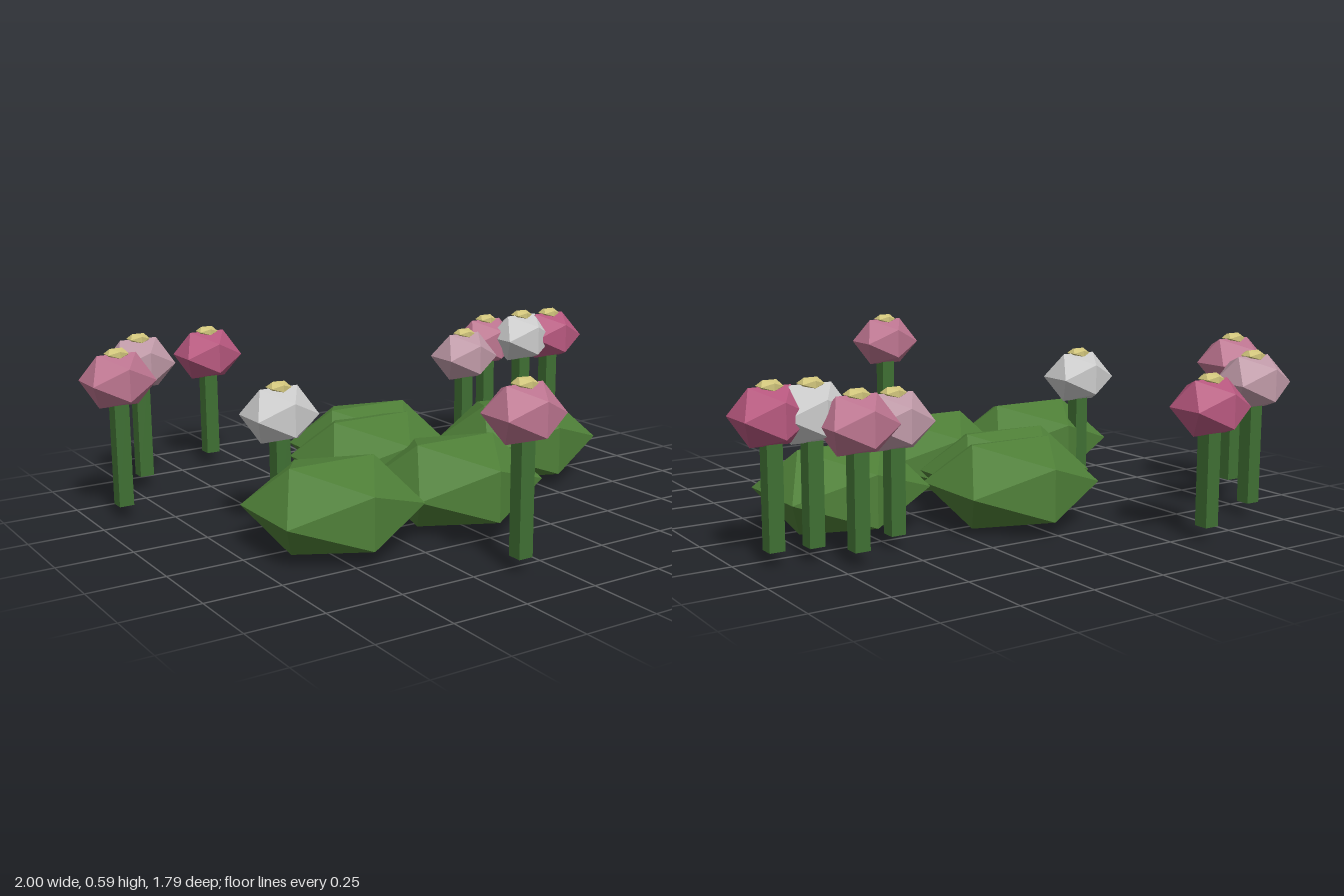
import * as THREE from 'three';

const mat = (color) => new THREE.MeshStandardMaterial({ color, flatShading: true });

export function createModel() {
  const root = new THREE.Group();
  root.name = 'flowerPatch';

  const leafGreen = mat(0x4f8038);
  const stemGreen = mat(0x3f6f33);
  const yellow = mat(0xd2c67c);
  const petals = {
    mid: mat(0xbd7590),
    light: mat(0xc09aa8),
    dark: mat(0xb8587f),
    white: mat(0xcccccc),
  };

  const add = (parent, name, geometry, material, x, y, z) => {
    const mesh = new THREE.Mesh(geometry, material);
    mesh.name = name;
    mesh.position.set(x, y, z);
    parent.add(mesh);
    return mesh;
  };

  // Squashed icosahedron given by its half width and half height
  const blob = (halfWidth, halfHeight) => {
    const k = 0.8507; // axis extent of a unit icosahedron
    return new THREE.IcosahedronGeometry(1, 0).scale(halfWidth / k, halfHeight / k, halfWidth / k);
  };

  // Low bushes: x, z
  const bushGeometry = blob(0.245, 0.1375);
  [
    [-0.455, 0.29], [0.02, 0.28], [-0.055, -0.12], [0.03, -0.28], [0.53, -0.04],
  ].forEach(([x, z]) => add(root, 'bush', bushGeometry, leafGreen, x, 0.1375, z));

  // Flowers: x, z, height of the blossom centre, petal colour
  const blossomGeometry = blob(0.108, 0.087);
  const pistilGeometry = blob(0.035, 0.0175);
  const stemBase = 0.045;
  [
    [-0.892, -0.34, 0.469, 'mid'],
    [-0.697, -0.633, 0.453, 'light'],
    [-0.53, 0.09, 0.394, 'white'],
    [-0.362, -0.79, 0.423, 'dark'],
    [-0.103, 0.785, 0.483, 'mid'],
    [0.503, -0.34, 0.396, 'light'],
    [0.68, -0.438, 0.42, 'mid'],
    [0.77, -0.325, 0.445, 'white'],
    [0.89, -0.305, 0.445, 'dark'],
  ].forEach(([x, z, y, tint]) => {
    const flower = new THREE.Group();
    flower.name = 'flower';
    flower.position.set(x, 0, z);
    const length = y - stemBase;
    add(flower, 'stem', new THREE.BoxGeometry(0.05, length, 0.05), stemGreen, 0, stemBase + length / 2, 0);
    add(flower, 'blossom', blossomGeometry, petals[tint], 0, y, 0);
    add(flower, 'pistil', pistilGeometry, yellow, 0, y + 0.088, 0);
    root.add(flower);
  });

  return root;
}
